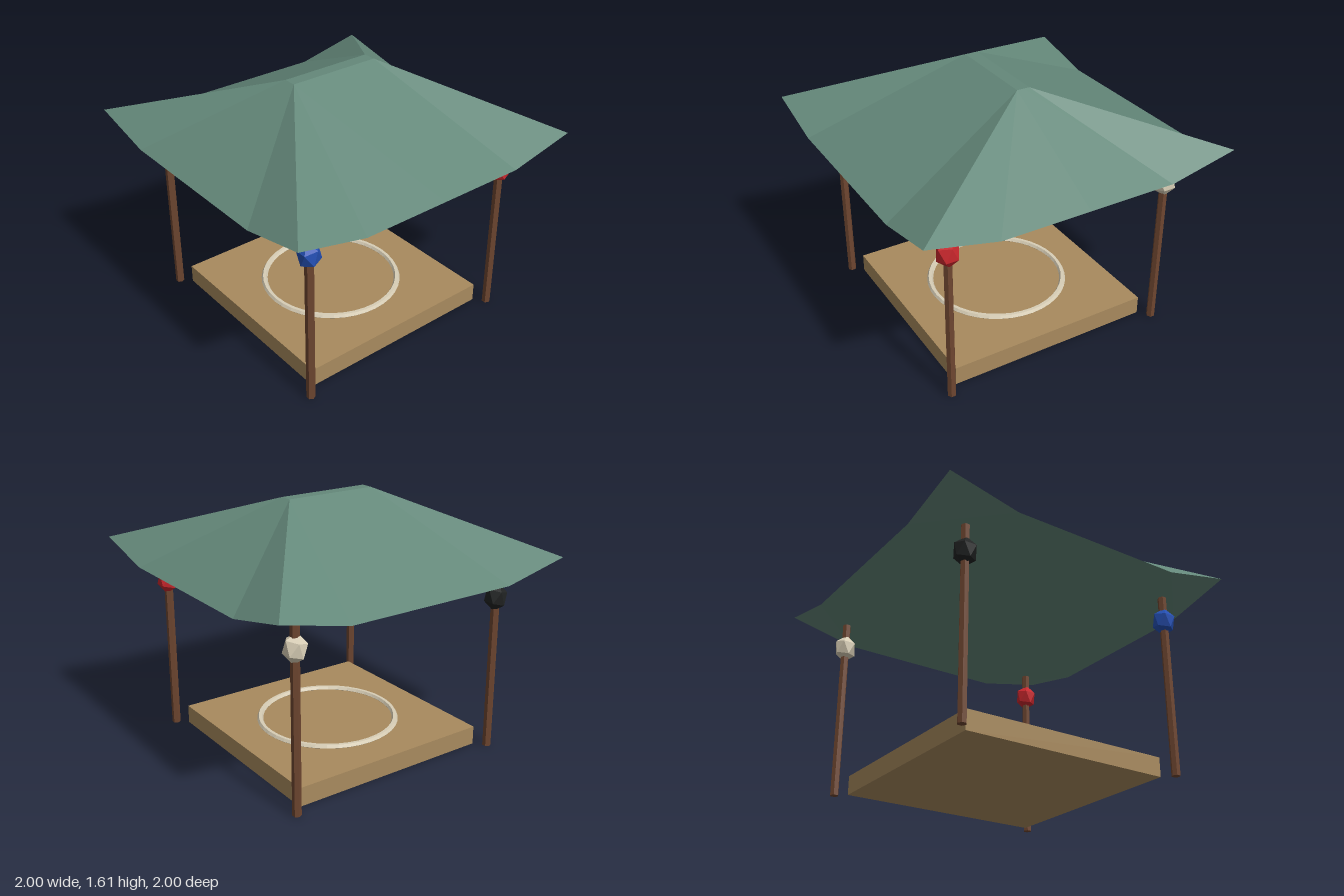
import * as THREE from 'three';

const paint = (name, color, flatShading = true) =>
  Object.assign(new THREE.MeshStandardMaterial({ color, flatShading }), { name });

// Hipped canopy with upturned corners and a closed underside, mirrored from one quadrant
function canopyGeometry() {
  const eave = 1.173, top = 1.612, under = 1.16, e = 0.56;
  const corner = [1, 1.27, 1], a = [e, eave, 1], b = [1, eave, e];
  const a0 = [0, eave, 1], b0 = [1, eave, 0];
  const ridge = [0.3, top, 0.04], ridgeX = [0, top, 0.04], ridgeZ = [0.3, top, 0], peak = [0, top, 0];
  const inner = [e, under, e], innerX = [0, under, e], innerZ = [e, under, 0], middle = [0, under, 0];
  const faces = [
    // upper surface
    [peak, ridgeX, ridge, ridgeZ], [ridgeX, a0, a, ridge], [a, corner, ridge],
    [ridge, corner, b], [ridge, b, b0, ridgeZ],
    // underside
    [corner, a, b], [a, inner, b], [a0, innerX, inner, a],
    [b, inner, innerZ, b0], [inner, innerX, middle, innerZ],
  ];
  const positions = [];
  for (const sx of [1, -1]) for (const sz of [1, -1]) {
    for (const face of faces) {
      const pts = face.map(([x, y, z]) => [x * sx, y, z * sz]);
      if (sx * sz < 0) pts.reverse();
      for (let i = 1; i < pts.length - 1; i++) positions.push(...pts[0], ...pts[i], ...pts[i + 1]);
    }
  }
  const geometry = new THREE.BufferGeometry();
  geometry.setAttribute('position', new THREE.Float32BufferAttribute(positions, 3));
  geometry.computeVertexNormals();
  return geometry;
}

export function createModel() {
  const model = new THREE.Group();
  model.name = 'pavilion';

  const green = paint('canopyGreen', 0x64887a);
  const wood = paint('postBrown', 0x6e4630);
  const tan = paint('floorTan', 0xa88a5e);
  const cream = paint('cream', 0xd8ceb6);
  const red = paint('red', 0xc8262c);
  const blue = paint('blue', 0x2450b4);
  const black = paint('black', 0x202222);

  const add = (name, geometry, material, x = 0, y = 0, z = 0) => {
    const mesh = new THREE.Mesh(geometry, material);
    mesh.name = name;
    mesh.position.set(x, y, z);
    model.add(mesh);
    return mesh;
  };

  add('canopy', canopyGeometry(), green);

  // Raised floor with a ring laid on it
  add('floor', new THREE.BoxGeometry(1.34, 0.12, 1.34), tan, 0, 0.06, 0);
  add('floorRing', new THREE.TorusGeometry(0.44, 0.02, 6, 40).rotateX(Math.PI / 2), cream, 0, 0.122, 0);

  // Corner posts, each with a coloured faceted ornament
  const postGeometry = new THREE.CylinderGeometry(0.027, 0.027, 1.17, 6);
  const ornamentGeometry = new THREE.IcosahedronGeometry(1, 0).rotateZ(-0.35).scale(0.073, 0.09, 0.073);
  const corners = [
    ['frontLeft', 1, 1, red], ['frontRight', -1, 1, blue],
    ['backLeft', 1, -1, cream], ['backRight', -1, -1, black],
  ];
  for (const [name, sx, sz, color] of corners) {
    add(name + 'Post', postGeometry, wood, 0.732 * sx, 0.585, 0.732 * sz);
    add(name + 'Ornament', ornamentGeometry, color, 0.732 * sx, 1.003, 0.732 * sz);
  }
  return model;
}
